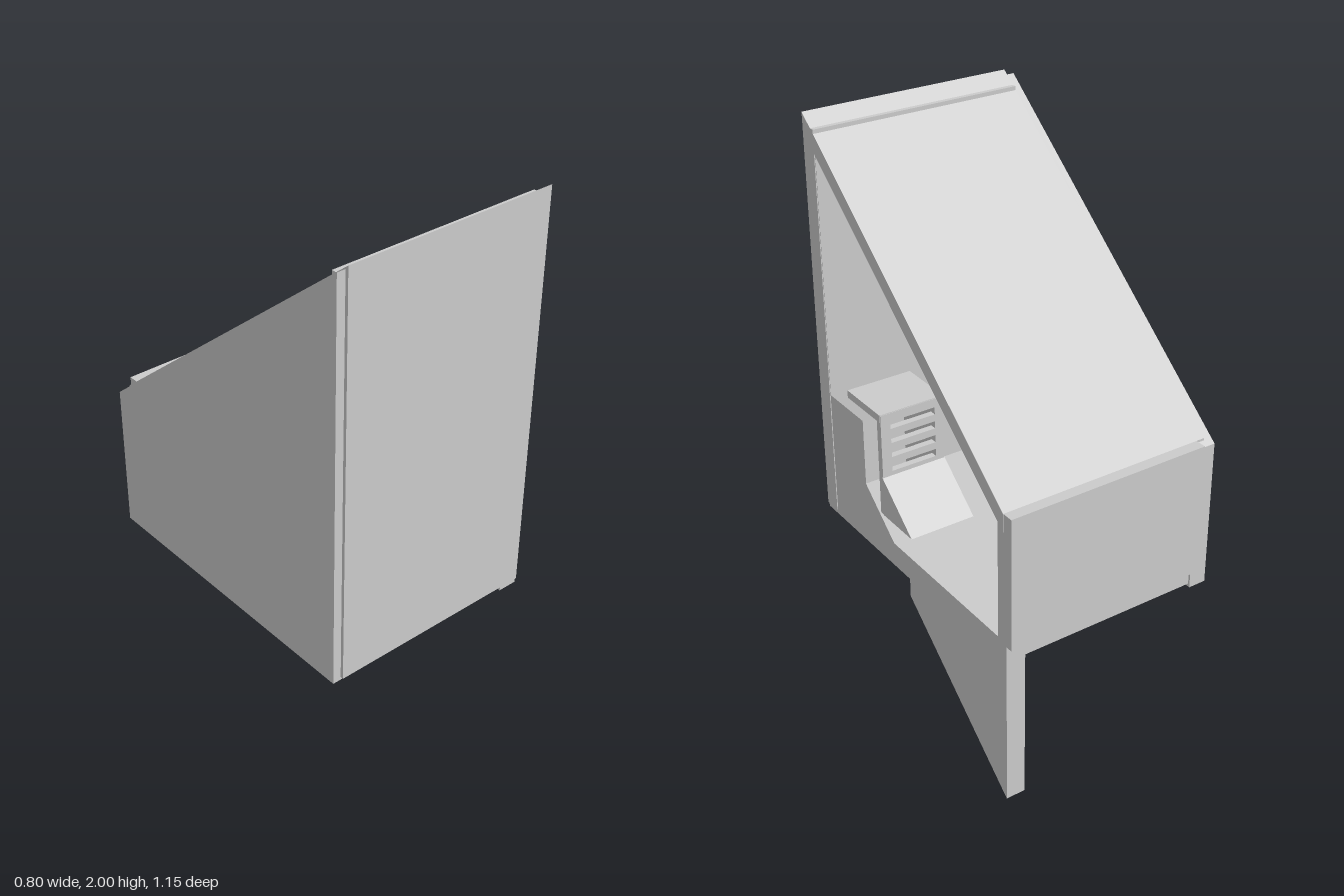
import * as THREE from 'three';

const material = new THREE.MeshStandardMaterial({ color: 0xcccccc, flatShading: true });

// Closed outline from [a, b] pairs
const trace = (path, pts) => {
  pts.forEach(([a, b], i) => (i ? path.lineTo(a, b) : path.moveTo(a, b)));
  path.closePath();
  return path;
};

export function createModel() {
  const group = new THREE.Group();

  const add = (name, geometry) => {
    const mesh = new THREE.Mesh(geometry, material);
    mesh.name = name;
    group.add(mesh);
    return mesh;
  };

  // Box given by its limits
  const block = (name, x0, x1, y0, y1, z0, z1) =>
    add(name, new THREE.BoxGeometry(x1 - x0, y1 - y0, z1 - z0))
      .position.set((x0 + x1) / 2, (y0 + y1) / 2, (z0 + z1) / 2);

  // Side profile in [z, y], extruded from x0 to x1
  const slab = (name, x0, x1, pts, hole) => {
    const flip = (list) => list.map(([z, y]) => [-z, y]);
    const shape = trace(new THREE.Shape(), flip(pts));
    if (hole) shape.holes.push(trace(new THREE.Path(), flip(hole)));
    const geometry = new THREE.ExtrudeGeometry(shape, { depth: x1 - x0, bevelEnabled: false });
    geometry.rotateY(Math.PI / 2).translate(x0, 0, 0);
    return add(name, geometry);
  };

  // Solid side wall
  slab('closedSideWall', -0.4, -0.335,
    [[0.562, 0.545], [0.562, 1.985], [-0.552, 1.075], [-0.552, 0.545]]);

  // Opposite wall with its window, running down into the bracket leg
  slab('windowWallAndLeg', 0.325, 0.395,
    [[0.57, 0.54], [0.57, 1.985], [-0.53, 1.09], [-0.548, 1.08], [-0.548, 0], [0.02, 0.47], [0.02, 0.54]],
    [[0.505, 1.88], [-0.503, 1.055], [-0.503, 0.625], [0.11, 0.625], [0.29, 0.775], [0.29, 1.02], [0.505, 1.02]]);

  // Outer panels
  slab('slopedRoof', -0.37, 0.398,
    [[0.573, 2], [-0.535, 1.097], [-0.535, 1.032], [0.573, 1.935]]);
  block('frontPanel', -0.37, 0.398, 0.556, 1.96, 0.507, 0.573);
  block('backPanel', -0.338, 0.397, 0.62, 1.097, -0.576, -0.505);
  block('floor', -0.345, 0.39, 0.556, 0.623, -0.545, 0.56);

  // Inner hopper: top, side and ramp
  block('hopperTop', 0.08, 0.33, 0.99, 1.018, 0.292, 0.51);
  block('hopperSide', 0.08, 0.11, 0.62, 0.992, 0.295, 0.51);
  slab('hopperRamp', 0.08, 0.33, [[0.292, 0.775], [0.11, 0.622], [0.292, 0.622]]);

  // Slotted hopper face
  const face = trace(new THREE.Shape(), [[0.082, 0.62], [0.328, 0.62], [0.328, 1.016], [0.082, 1.016]]);
  for (let i = 0; i < 4; i++) {
    const y = 0.79 + i * 0.055;
    face.holes.push(trace(new THREE.Path(), [[0.115, y], [0.29, y], [0.29, y + 0.028], [0.115, y + 0.028]]));
  }
  add('hopperVent', new THREE.ExtrudeGeometry(face, { depth: 0.025, bevelEnabled: false })).position.z = 0.29;

  return group;
}
